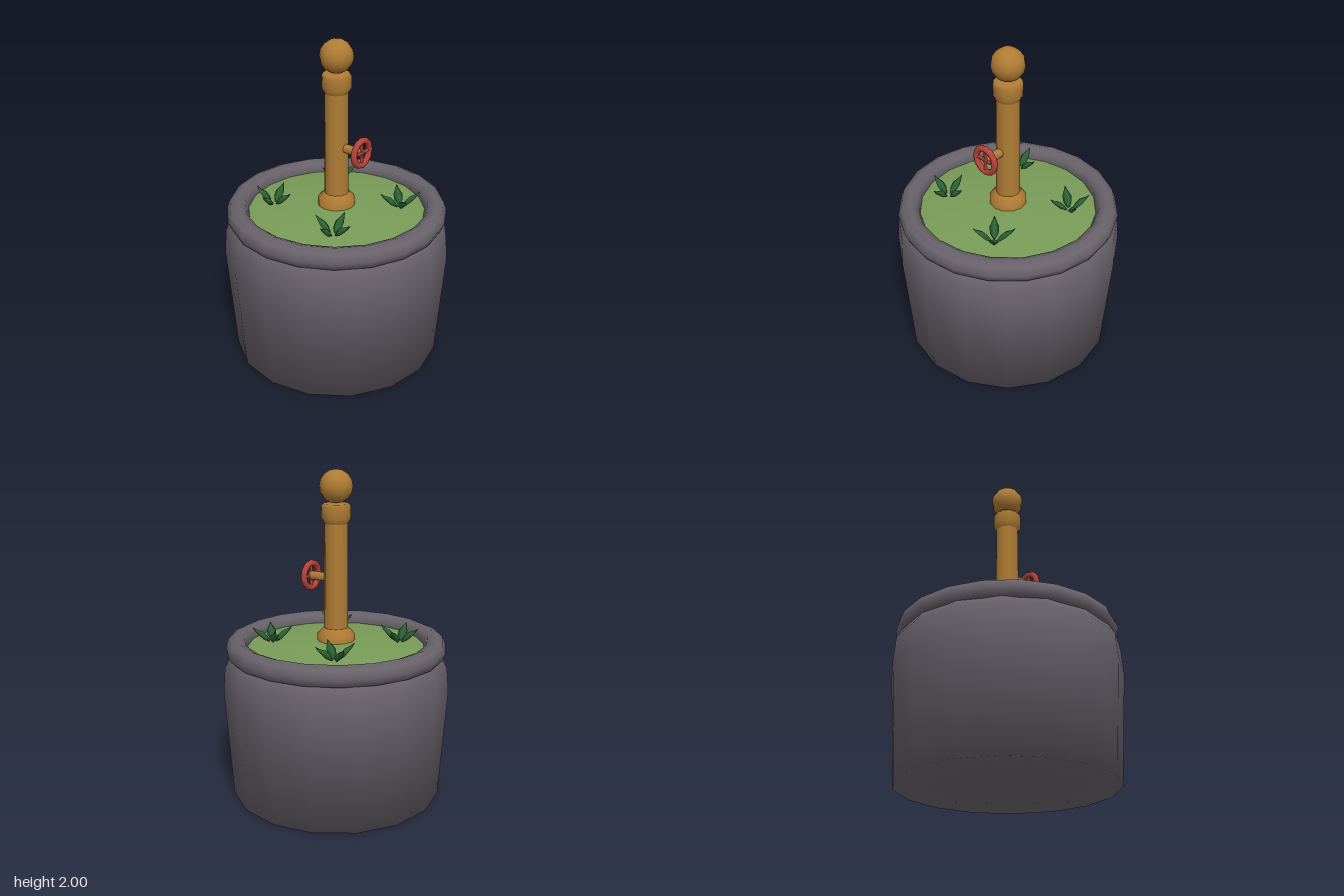
import * as THREE from 'three';

const flat = (name, color, side = THREE.FrontSide) => {
  const m = new THREE.MeshStandardMaterial({ color, side });
  m.name = name;
  return m;
};

const lathe = (points, sides) =>
  new THREE.LatheGeometry(points.map(([r, y]) => new THREE.Vector2(r, y)), sides);

// Pointed leaf: diamond cross-sections swept outward (+z) and upward
function leafGeometry() {
  const rows = [ // reach, height, half width, half thickness
    [0.02, 0, 0.006, 0.004],
    [0.045, 0.025, 0.026, 0.012],
    [0.07, 0.05, 0.028, 0.012],
    [0.1, 0.07, 0.013, 0.006],
    [0.122, 0.092, 0.0005, 0.0005],
  ];
  const pos = [], index = [];
  for (const [z, y, w, t] of rows) {
    pos.push(w, y, z, 0, y + t, z - t, -w, y, z, 0, y - t, z + t);
  }
  for (let i = 0; i < rows.length - 1; i++) {
    for (let j = 0; j < 4; j++) {
      const a = i * 4 + j, b = i * 4 + (j + 1) % 4;
      index.push(a, b, a + 4, b, b + 4, a + 4);
    }
  }
  const g = new THREE.BufferGeometry();
  g.setAttribute('position', new THREE.Float32BufferAttribute(pos, 3));
  g.setIndex(index);
  g.computeVertexNormals();
  // make sure the faces point outward
  return g;
}

export function createModel() {
  const model = new THREE.Group();
  const stone = flat('grey stone', 0x69626b);
  const grass = flat('grass green', 0x789c57);
  const brass = flat('brass', 0xaf7c34);
  const red = flat('valve red', 0xb8433a);
  const leafGreen = flat('leaf green', 0x2d6536, THREE.DoubleSide);

  const add = (parent, name, geometry, material, x = 0, y = 0, z = 0) => {
    const mesh = new THREE.Mesh(geometry, material);
    mesh.name = name;
    mesh.position.set(x, y, z);
    parent.add(mesh);
    return mesh;
  };

  // Pot body, rolled rim and domed soil
  add(model, 'pot', lathe([[0, 0], [0.65, 0], [0.695, 0.68], [0.682, 0.83], [0.645, 0.89], [0.6, 0.93]], 16), stone);
  add(model, 'potRim', new THREE.TorusGeometry(0.608, 0.067, 8, 20), stone, 0, 0.934).rotation.x = Math.PI / 2;
  add(model, 'grassTop', lathe([[0.58, 0.925], [0.45, 0.945], [0.25, 0.965], [0, 0.975]], 20), grass);

  // Standpipe: flared foot, shaft, collar and ball
  const pipe = new THREE.Group();
  pipe.name = 'standpipe';
  model.add(pipe);
  add(pipe, 'foot', lathe([[0.115, 0.95], [0.115, 1.01], [0.075, 1.05]], 12), brass);
  add(pipe, 'shaft', lathe([[0.075, 0.96], [0.07, 1.7]], 12), brass);
  add(pipe, 'collar', lathe([[0.068, 1.68], [0.088, 1.715], [0.088, 1.785], [0.078, 1.8], [0, 1.8]], 12), brass);
  add(pipe, 'ball', new THREE.SphereGeometry(0.1, 12, 8), brass, 0, 1.9);

  // Valve stem and spoked wheel at the front
  add(pipe, 'valveStem', new THREE.CylinderGeometry(0.028, 0.028, 0.14, 8), brass, 0, 1.35, 0.115).rotation.x = Math.PI / 2;
  const wheel = new THREE.Group();
  wheel.name = 'valveWheel';
  wheel.position.set(0, 1.35, 0.183);
  model.add(wheel);
  add(wheel, 'wheelRing', new THREE.TorusGeometry(0.077, 0.019, 8, 12), red);
  for (const turn of [0, Math.PI / 2]) {
    add(wheel, 'wheelSpoke', new THREE.CylinderGeometry(0.01, 0.01, 0.15, 6), red).rotation.z = turn;
  }

  // Four tufts of four leaves: x, z, turn
  const leaf = leafGeometry();
  const tufts = [[-0.218, -0.318, 0.15], [0.317, -0.21, 0.98], [-0.313, 0.21, 0.04], [0.213, 0.325, 0.78]];
  for (const [x, z, turn] of tufts) {
    const tuft = new THREE.Group();
    tuft.name = 'leafTuft';
    tuft.position.set(x, 0.958, z);
    model.add(tuft);
    for (let i = 0; i < 4; i++) {
      add(tuft, 'leaf', leaf, leafGreen).rotation.y = turn + i * Math.PI / 2;
    }
  }
  return model;
}
